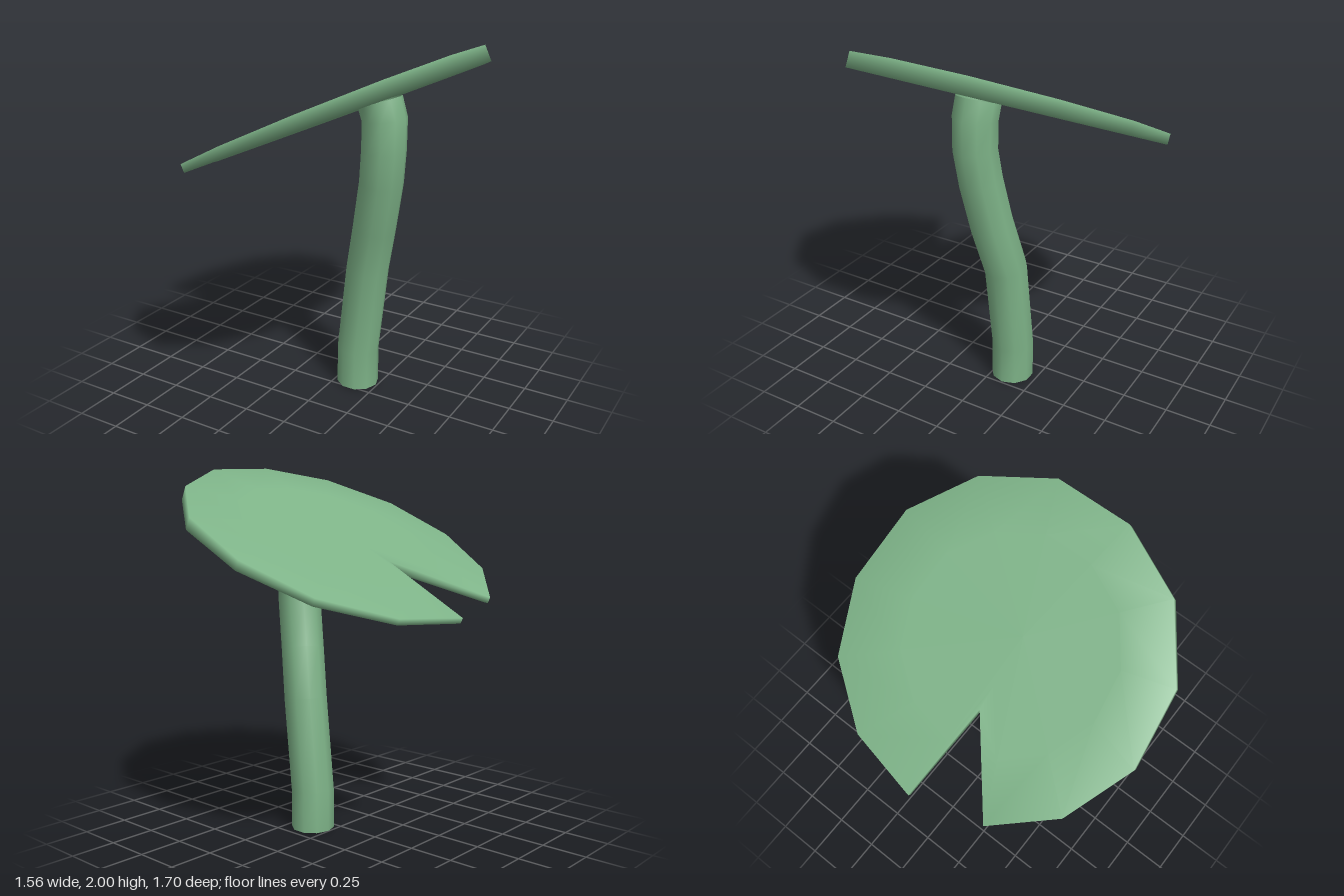
import * as THREE from 'three';

// Skin a list of closed rings, ordered top to bottom, with smooth normals
function loft(rings) {
  const n = rings[0].length;
  const index = [];
  for (let i = 0; i < rings.length - 1; i++) {
    for (let j = 0; j < n; j++) {
      const k = (j + 1) % n;
      const a = i * n + j, b = i * n + k, c = a + n, d = b + n;
      index.push(a, b, d, a, d, c);
    }
  }
  const geo = new THREE.BufferGeometry().setFromPoints(rings.flat());
  geo.setIndex(index);
  geo.computeVertexNormals();
  return geo;
}

// Tilted plane of the pad
const padY = (x, z) => 1.633 + 0.49 * x + 0.03 * z;
const padNormal = new THREE.Vector3(-0.49, 1, -0.03).normalize();

function padGeometry() {
  // Rim seen from above, with the notch on the -x side
  const outline = [
    [-0.12, -0.85], [0.265, -0.815], [0.565, -0.59], [0.74, -0.24], [0.74, 0.17],
    [0.585, 0.54], [0.285, 0.79], [-0.09, 0.85], [-0.44, 0.71], [-0.68, 0.42],
    [-0.27, 0.075], [-0.78, 0.02], [-0.70, -0.38], [-0.465, -0.70],
  ];
  const cx = 0.1, cz = 0.05;
  // The pad gets thinner toward the notch
  const ring = (scale, under) => outline.map(([px, pz]) => {
    const x = cx + (px - cx) * scale, z = cz + (pz - cz) * scale;
    const p = new THREE.Vector3(x, padY(x, z), z);
    return under ? p.addScaledVector(padNormal, -(0.06 + 0.036 * x)) : p;
  });
  return loft([ring(0, false), ring(0.65, false), ring(1, false),
    ring(1, true), ring(0.65, true), ring(0, true)]);
}

function stemGeometry() {
  const path = [
    [0.288, 1.70, 0], [0.318, 1.61, 0.002], [0.318, 1.45, 0.005], [0.298, 1.27, -0.013],
    [0.245, 1.0, -0.045], [0.182, 0.73, -0.09], [0.122, 0.22, -0.1], [0.122, 0, -0.1],
  ].map((p) => new THREE.Vector3(...p));
  const up = new THREE.Vector3(0, 1, 0);
  const sides = 10, radius = 0.119;
  const rings = path.map((p, i) => {
    const above = path[Math.max(i - 1, 0)];
    const below = path[Math.min(i + 1, path.length - 1)];
    const dir = i === path.length - 1 ? up : above.clone().sub(below).normalize();
    const turn = new THREE.Quaternion().setFromUnitVectors(up, dir);
    return Array.from({ length: sides }, (_, j) => {
      const a = (j / sides) * Math.PI * 2;
      return new THREE.Vector3(Math.cos(a) * radius, 0, Math.sin(a) * radius)
        .applyQuaternion(turn).add(p);
    });
  });
  return loft(rings);
}

export function createModel() {
  const leafGreen = new THREE.MeshStandardMaterial({ color: 0x7db287, side: THREE.DoubleSide });
  leafGreen.name = 'leafGreen';

  const model = new THREE.Group();
  model.name = 'lilyPad';
  const pad = new THREE.Mesh(padGeometry(), leafGreen);
  pad.name = 'pad';
  const stem = new THREE.Mesh(stemGeometry(), leafGreen);
  stem.name = 'stem';
  model.add(pad, stem);
  return model;
}
